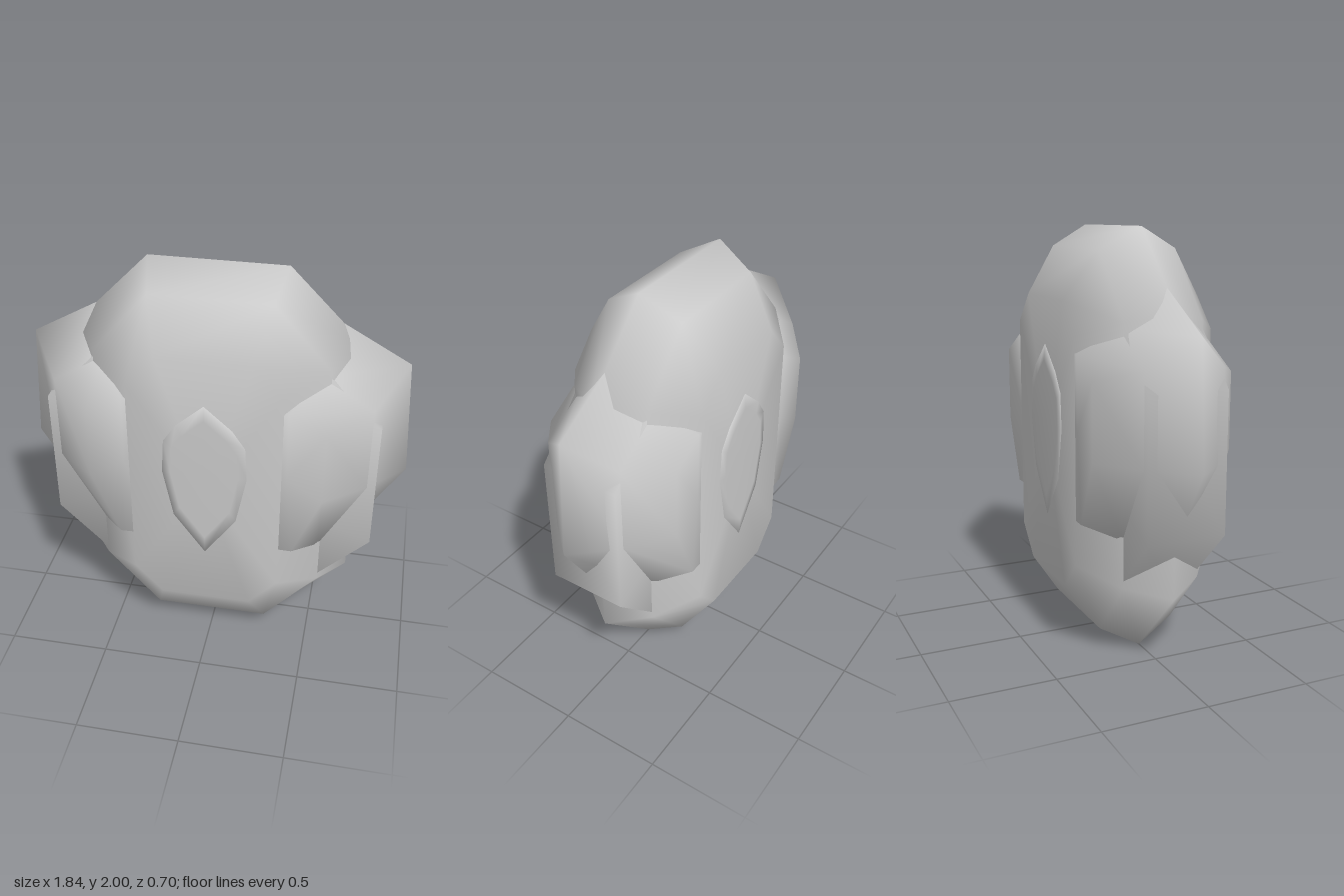
import * as THREE from 'three';

// Smooth pillow made of matching outlines, given from the middle ridge to the front face
// and mirrored to the back. Each layer is [z, counter-clockwise points].
function pillow(name, layers) {
  const back = layers.slice().reverse().map(([z, p]) => [-z, p]);
  const front = layers[0][0] === 0 ? layers.slice(1) : layers;
  const rings = [...back, ...front];
  const n = rings[0][1].length;
  const pos = [], idx = [];
  for (const [z, pts] of rings) for (const [x, y] of pts) pos.push(x, y, z);
  for (let r = 0; r < rings.length - 1; r++) {
    for (let i = 0; i < n; i++) {
      const a = r * n + i, b = r * n + (i + 1) % n;
      idx.push(a, b, b + n, a, b + n, a + n);
    }
  }
  // Close both faces with a fan around their centre
  for (const r of [0, rings.length - 1]) {
    const [z, pts] = rings[r];
    const c = pos.length / 3;
    pos.push(
      pts.reduce((s, p) => s + p[0], 0) / n,
      pts.reduce((s, p) => s + p[1], 0) / n, z);
    for (let i = 0; i < n; i++) {
      const a = r * n + i, b = r * n + (i + 1) % n;
      if (r === 0) idx.push(c, b, a);
      else idx.push(c, a, b);
    }
  }
  const g = new THREE.BufferGeometry();
  g.setAttribute('position', new THREE.Float32BufferAttribute(pos, 3));
  g.setIndex(idx);
  g.computeVertexNormals();
  const mesh = new THREE.Mesh(g, new THREE.MeshStandardMaterial({ color: 0xcccccc }));
  mesh.name = name;
  return mesh;
}

// Octagon centred on y = 1: half-widths of the flat end and side, then half-heights
function octagon(endX, sideX, endY, sideY) {
  return [
    [endX, -endY], [sideX, -sideY], [sideX, sideY], [endX, endY],
    [-endX, endY], [-sideX, sideY], [-sideX, -sideY], [-endX, -endY],
  ].map(([x, y]) => [x, 1 + y]);
}

const mirrorX = (pts) => pts.map(([x, y]) => [-x, y]).reverse();

export function createModel() {
  const model = new THREE.Group();

  // Main body
  model.add(pillow('body', [
    [0, octagon(0.32, 0.675, 1, 0.64)],
    [0.19, octagon(0.28, 0.545, 0.9, 0.6)],
    [0.345, octagon(0.22, 0.355, 0.675, 0.53)],
  ]));

  // Octagonal disc passing through the body, showing at both sides
  model.add(pillow('sideDisc', [[0.19, octagon(0.325, 0.785, 0.785, 0.325)]]));

  // Shoulder lobes
  const lobe = [
    [0, [[0.2, 0.6], [0.6, 0.49], [0.92, 1], [0.885, 1.57], [0.5, 1.785], [0.2, 1.6]]],
    [0.19, [[0.2, 0.62], [0.535, 0.625], [0.745, 1], [0.745, 1.42], [0.5, 1.57], [0.2, 1.5]]],
    [0.342, [[0.2, 0.69], [0.42, 0.685], [0.55, 1], [0.55, 1.36], [0.38, 1.455], [0.2, 1.44]]],
  ];
  model.add(pillow('leftLobe', lobe));
  model.add(pillow('rightLobe', lobe.map(([z, p]) => [z, mirrorX(p)])));

  // Slightly raised drop shape on the front and back
  const half = [[0.15, 0.83], [0.2, 1.08], [0.19, 1.25], [0.13, 1.34]];
  const drop = [[0, 0.62], ...half, [0, 1.455], ...mirrorX(half)];
  const inner = drop.map(([x, y]) => [x * 0.8, 1.08 + (y - 1.08) * 0.8]);
  model.add(pillow('centreDrop', [[0.3, drop], [0.346, drop], [0.352, inner]]));

  return model;
}
